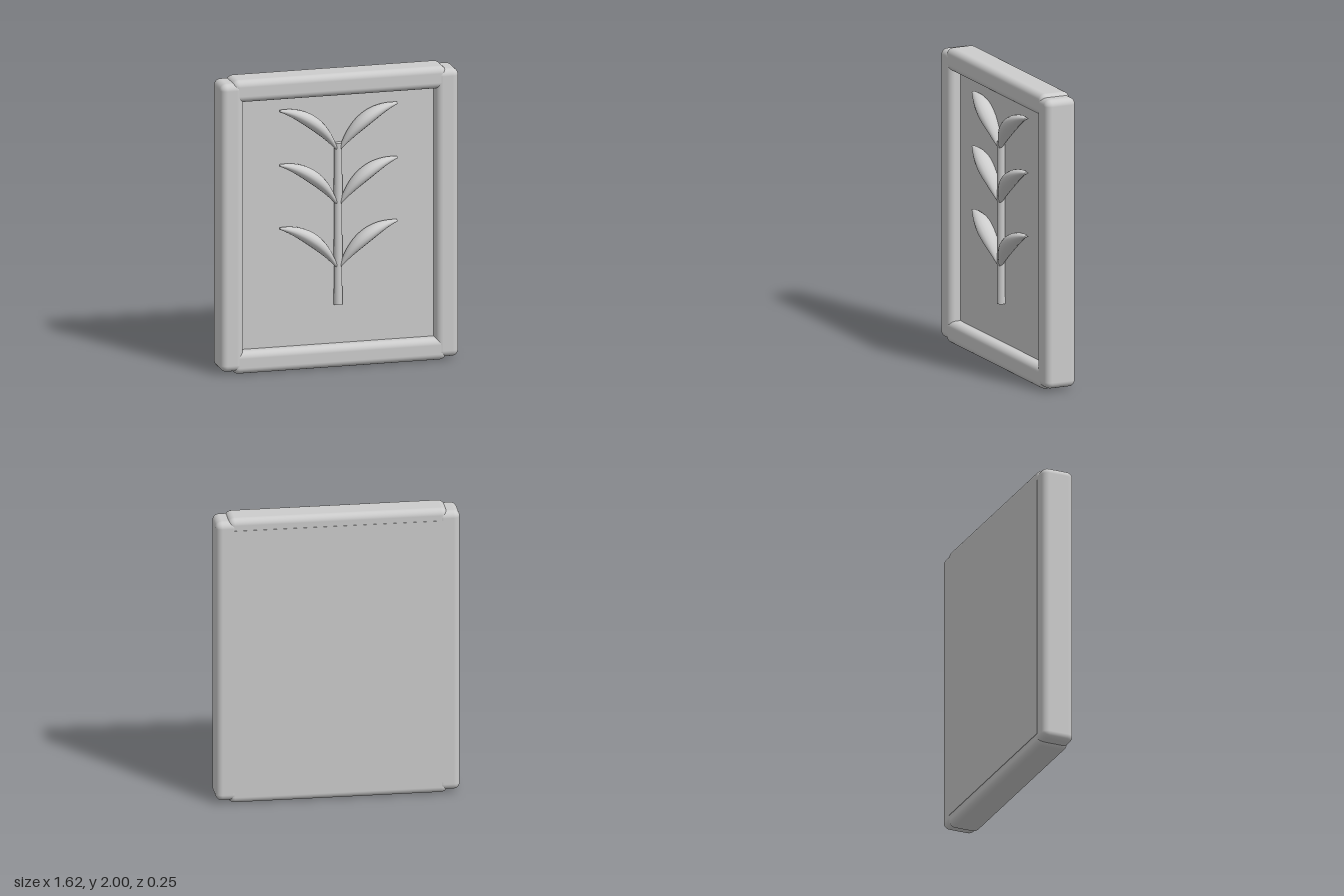
import * as THREE from 'three';
import { RoundedBoxGeometry } from 'three/addons/geometries/RoundedBoxGeometry.js';

const stone = new THREE.MeshStandardMaterial({ color: 0xcccccc });
stone.name = 'pale grey';

function add(group, name, geometry, x = 0, y = 0, z = 0) {
  const mesh = new THREE.Mesh(geometry, stone);
  mesh.name = name;
  mesh.position.set(x, y, z);
  group.add(mesh);
  return mesh;
}

// Curved leaf with an elliptical section, swept from the stem to its tip
function leafGeometry(side) {
  const path = new THREE.QuadraticBezierCurve(
    new THREE.Vector2(0.012 * side, 0),
    new THREE.Vector2(0.16 * side, 0.25),
    new THREE.Vector2(0.4 * side, 0.285)
  );
  const rings = 20, sides = 16;
  const positions = [], indices = [];
  for (let i = 0; i <= rings; i++) {
    const t = i / rings;
    const p = path.getPoint(t);
    const d = path.getTangent(t);
    const swell = Math.sin(Math.PI * t);
    const width = 0.007 + 0.037 * swell;
    const depth = 0.012 + 0.05 * swell;
    for (let j = 0; j < sides; j++) {
      const a = (j / sides) * Math.PI * 2;
      const w = Math.cos(a) * width;
      positions.push(p.x - d.y * w, p.y + d.x * w, 0.05 + 0.012 * swell + Math.sin(a) * depth);
    }
  }
  for (let i = 0; i < rings; i++) {
    for (let j = 0; j < sides; j++) {
      const a = i * sides + j, b = i * sides + (j + 1) % sides;
      indices.push(a, b, a + sides, b, b + sides, a + sides);
    }
  }
  // Close both ends
  const last = rings * sides;
  for (let j = 1; j < sides - 1; j++) {
    indices.push(0, j + 1, j, last, last + j, last + j + 1);
  }
  const geometry = new THREE.BufferGeometry();
  geometry.setAttribute('position', new THREE.Float32BufferAttribute(positions, 3));
  geometry.setIndex(indices);
  geometry.computeVertexNormals();
  return geometry;
}

export function createModel() {
  const model = new THREE.Group();
  model.name = 'framedLeafRelief';

  // Recessed panel, flush with the back of the frame
  add(model, 'panel', new THREE.BoxGeometry(1.42, 1.84, 0.142), 0, 1, -0.051);

  // Rounded frame
  const frame = new THREE.Group();
  frame.name = 'frame';
  model.add(frame);
  const post = new RoundedBoxGeometry(0.155, 1.96, 0.222, 4, 0.045);
  const rail = new RoundedBoxGeometry(1.46, 0.152, 0.218, 4, 0.045);
  for (const side of [-1, 1]) {
    add(frame, side > 0 ? 'leftPost' : 'rightPost', post, side * 0.735, 1, -0.01);
    add(frame, side > 0 ? 'topRail' : 'bottomRail', rail, 0, 1 + side * 0.924, -0.01);
  }

  // Stem with three pairs of leaves
  const plant = new THREE.Group();
  plant.name = 'plant';
  model.add(plant);
  const joints = [0.42, 0.7, 1.13, 1.52];
  for (let i = 0; i < 3; i++) {
    const height = joints[i + 1] - joints[i];
    add(plant, 'stem', new THREE.CylinderGeometry(0.027, 0.029, height, 16), 0, joints[i] + height / 2, 0.04);
  }
  for (const side of [-1, 1]) {
    const leaf = leafGeometry(side);
    for (const y of [0.68, 1.11, 1.48]) {
      add(plant, side > 0 ? 'leftLeaf' : 'rightLeaf', leaf, 0, y, 0);
    }
  }
  return model;
}
